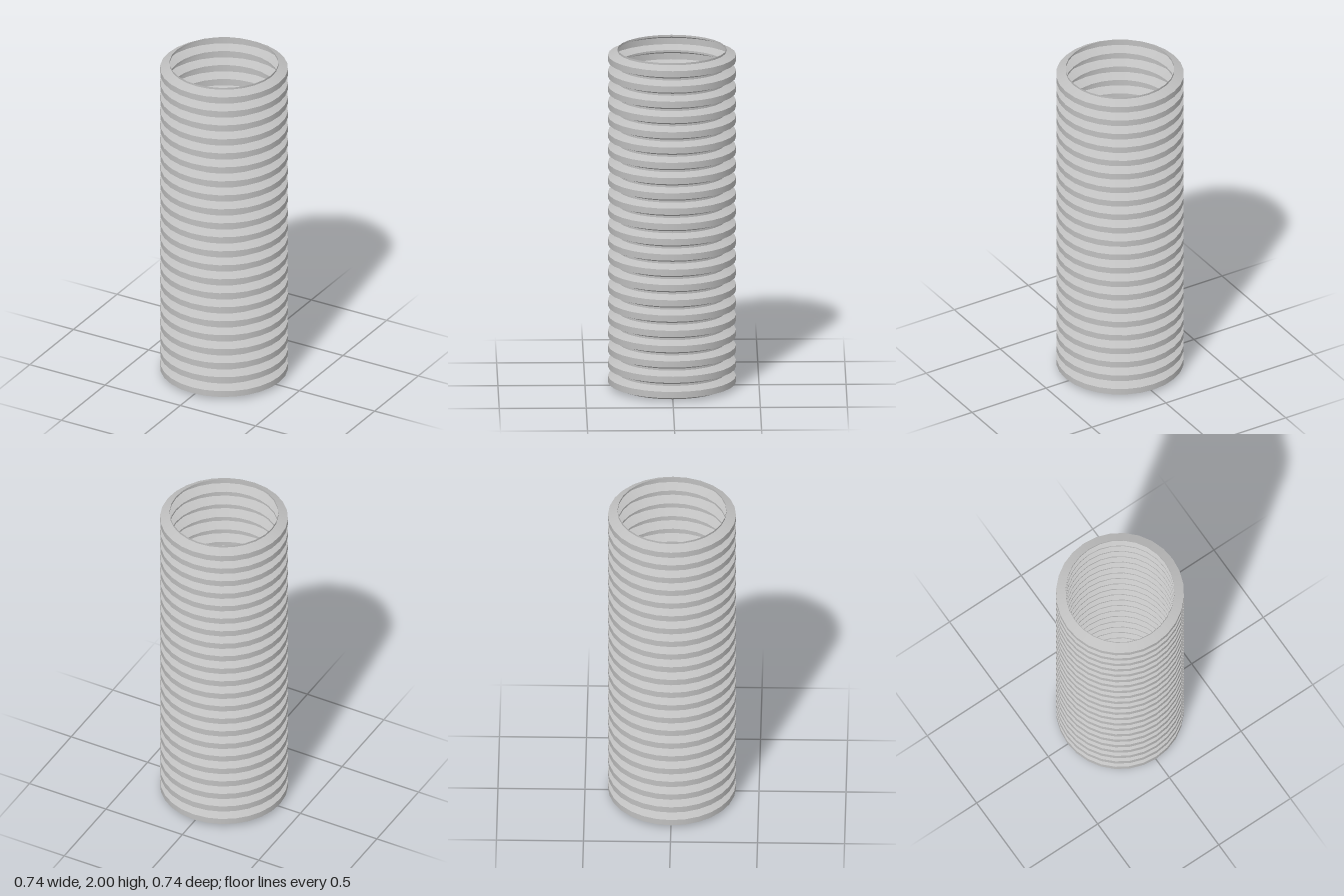
import * as THREE from 'three';
import { mergeGeometries } from 'three/addons/utils/BufferGeometryUtils.js';

const RIBS = 22, SIDES = 28;
const PITCH = 2 / RIBS;
const NECK_R = 0.313, RIB_R = 0.368;
const SLOPE = 0.021, CREST = 0.037;

// One straight band of the wall, smooth around and sharp at its rims
function band(r0, y0, r1, y1) {
  return new THREE.LatheGeometry([new THREE.Vector2(r0, y0), new THREE.Vector2(r1, y1)], SIDES);
}

export function createModel() {
  const group = new THREE.Group();
  group.name = 'corrugatedTube';
  const grey = new THREE.MeshStandardMaterial({ color: 0xc0c0c0, side: THREE.DoubleSide });
  grey.name = 'light grey';

  // Rib: lower slope, crest, upper slope, then the narrow neck
  const profile = [
    [NECK_R, 0], [RIB_R, SLOPE], [RIB_R, SLOPE + CREST], [NECK_R, 2 * SLOPE + CREST], [NECK_R, PITCH],
  ];
  const ribGeometry = mergeGeometries(
    profile.slice(1).map((p, i) => band(...profile[i], ...p)),
  );

  // Stack the open ribs into the hollow tube
  for (let i = 0; i < RIBS; i++) {
    const rib = new THREE.Mesh(ribGeometry, grey);
    rib.name = `rib${i + 1}`;
    rib.position.y = i * PITCH;
    group.add(rib);
  }
  return group;
}
